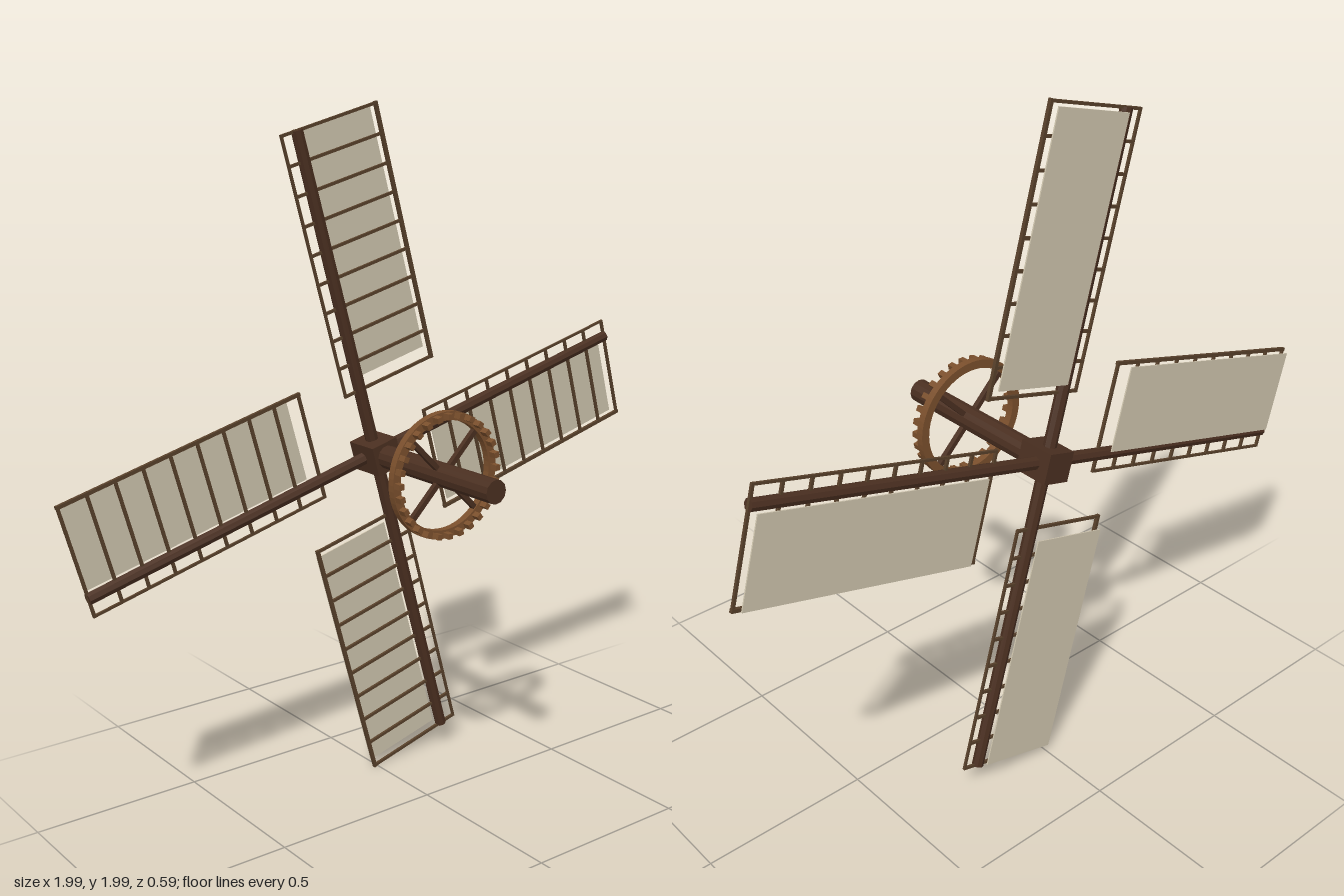
import * as THREE from 'three';

const mat = (color, extra = {}) => new THREE.MeshStandardMaterial({ color, ...extra });
const darkWood = mat(0x4a2f20, { flatShading: true });
const frameWood = mat(0x57402a, { flatShading: true });
const gearWood = mat(0x7a4f2c, { flatShading: true });
const canvas = mat(0xcdc3ac);

const ARM_Z = -0.245, WHEEL_Z = 0.072, TILT = Math.PI / 12;

function add(parent, name, geometry, material, x = 0, y = 0, z = 0) {
  const mesh = new THREE.Mesh(geometry, material);
  mesh.name = name;
  mesh.position.set(x, y, z);
  parent.add(mesh);
  return mesh;
}
const box = (w, h, d) => new THREE.BoxGeometry(w, h, d);

// One blade, pointing up from the hub
function createBlade() {
  const blade = new THREE.Group();
  blade.name = 'blade';
  const inner = 0.2, outer = 0.953, bars = 10;
  const length = outer - inner, mid = (inner + outer) / 2;

  add(blade, 'arm', new THREE.CylinderGeometry(0.017, 0.019, 0.955, 8), darkWood, 0, 0.4775, 0);
  add(blade, 'ladderRail', box(0.007, length + 0.007, 0.007), frameWood, -0.052, mid, 0);
  add(blade, 'outerRail', box(0.01, length + 0.01, 0.01), frameWood, 0.268, mid, 0);
  for (let i = 0; i < bars; i++) {
    add(blade, 'crossBar', box(0.326, 0.008, 0.008), frameWood, 0.108, inner + length * i / (bars - 1), 0);
  }
  // Cloth stretched behind the lattice
  add(blade, 'sail', box(0.25, 0.715, 0.004), canvas, 0.138, 0.587, -0.024);
  return blade;
}

// Toothed wheel on the shaft, pegs facing forward
function createGear() {
  const gear = new THREE.Group();
  gear.name = 'gearWheel';
  const rim = new THREE.Shape().absarc(0, 0, 0.18, 0, Math.PI * 2);
  rim.holes.push(new THREE.Path().absarc(0, 0, 0.155, 0, Math.PI * 2, true));
  const rimGeometry = new THREE.ExtrudeGeometry(rim, { depth: 0.022, bevelEnabled: false, curveSegments: 32 });
  add(gear, 'rim', rimGeometry, gearWood, 0, 0, -0.011);

  for (let i = 0; i < 2; i++) {
    const spoke = add(gear, 'spokePair', box(0.325, 0.015, 0.015), darkWood);
    spoke.rotation.z = Math.PI / 4 + i * Math.PI / 2;
  }
  const teeth = 28;
  for (let i = 0; i < teeth; i++) {
    const a = i / teeth * Math.PI * 2;
    const peg = add(gear, 'tooth', box(0.016, 0.016, 0.026), gearWood, 0.169 * Math.cos(a), 0.169 * Math.sin(a), 0.022);
    peg.rotation.z = a;
  }
  return gear;
}

export function createModel() {
  const model = new THREE.Group();
  model.name = 'windmillSails';
  const rotor = new THREE.Group();
  rotor.name = 'rotor';
  rotor.position.y = 1;
  model.add(rotor);

  // Shaft and hub
  const shaft = new THREE.CylinderGeometry(0.034, 0.034, 0.5, 12).rotateX(Math.PI / 2);
  add(rotor, 'shaft', shaft, darkWood, 0, 0, 0.045);
  add(rotor, 'hub', box(0.088, 0.088, 0.112), darkWood, 0, 0, -0.239).rotation.z = TILT;

  // Four blades
  for (let i = 0; i < 4; i++) {
    const blade = createBlade();
    blade.position.z = ARM_Z;
    blade.rotation.z = TILT + i * Math.PI / 2;
    rotor.add(blade);
  }

  const gear = createGear();
  gear.position.z = WHEEL_Z;
  rotor.add(gear);
  return model;
}
